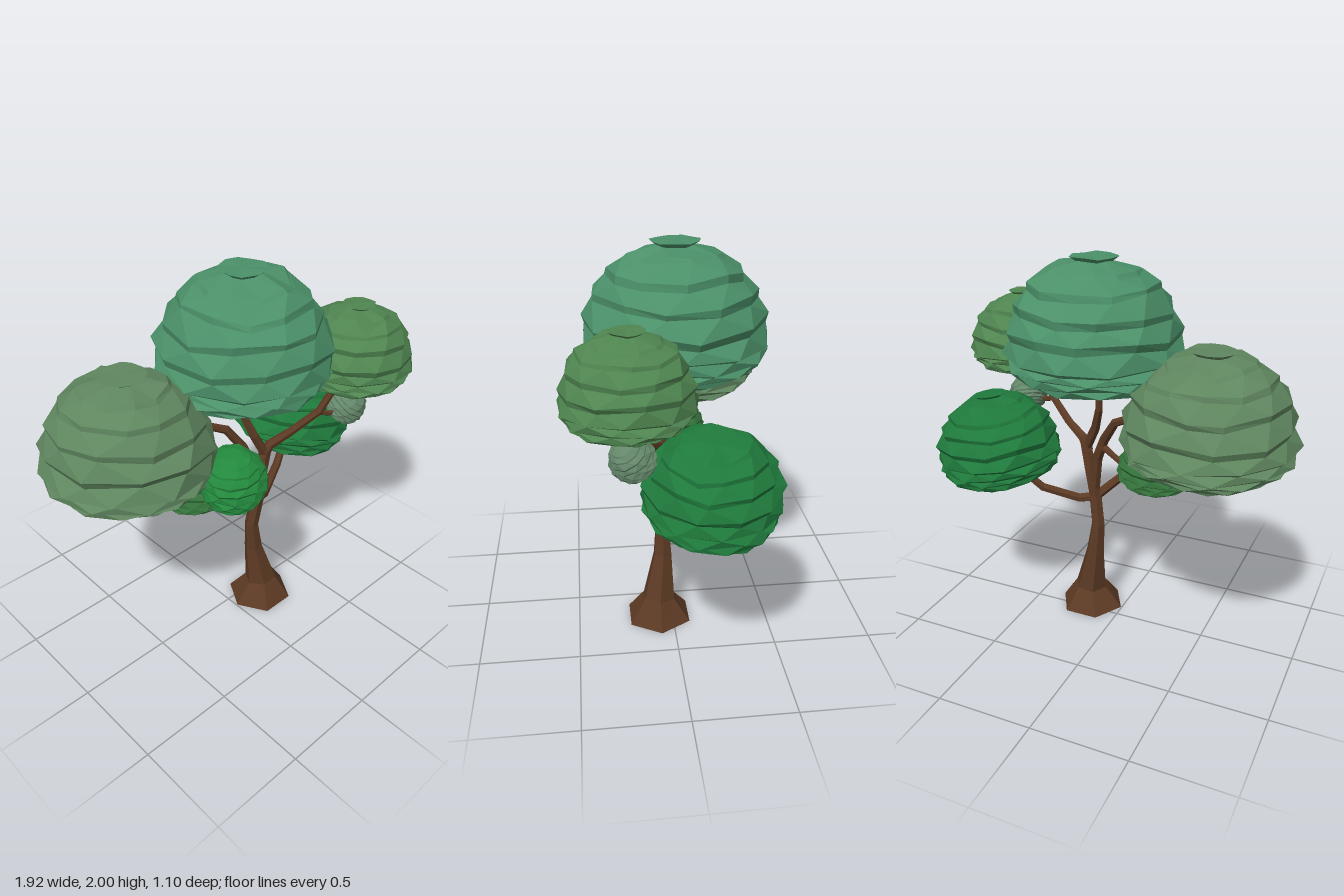
import * as THREE from 'three';

const bark = new THREE.MeshStandardMaterial({ color: 0x5c3a24, flatShading: true });

// Repeatable noise in -1..1
function noise(i, j, seed) {
  const s = Math.sin(i * 127.1 + j * 311.7 + seed * 74.7) * 43758.5453;
  return (s - Math.floor(s)) * 2 - 1;
}

// Six-sided limb swept through [x, y, z, radius] stations, closed at both ends
function limb(name, stations) {
  const sides = 6, pos = [], index = [];
  const pts = stations.map(s => new THREE.Vector3(s[0], s[1], s[2]));
  const last = pts.length - 1;
  pts.forEach((p, i) => {
    const t = pts[Math.min(i + 1, last)].clone().sub(pts[Math.max(i - 1, 0)]).normalize();
    if (stations[i][1] === 0) t.set(0, 1, 0);
    const u = t.clone().cross(new THREE.Vector3(0, 0, 1)).normalize();
    const v = u.clone().cross(t);
    for (let j = 0; j < sides; j++) {
      const a = j / sides * Math.PI * 2, r = stations[i][3];
      const q = p.clone().addScaledVector(u, r * Math.cos(a)).addScaledVector(v, r * Math.sin(a));
      pos.push(q.x, q.y, q.z);
    }
  });
  for (let i = 0; i < last; i++) {
    for (let j = 0; j < sides; j++) {
      const a = i * sides + j, b = i * sides + (j + 1) % sides;
      index.push(a, a + sides, b, b, a + sides, b + sides);
    }
  }
  const e = last * sides;
  for (let j = 1; j < sides - 1; j++) {
    index.push(0, j, j + 1, e, e + j + 1, e + j);
  }
  const indexed = new THREE.BufferGeometry();
  indexed.setAttribute('position', new THREE.Float32BufferAttribute(pos, 3));
  indexed.setIndex(index);
  const geo = indexed.toNonIndexed();
  geo.computeVertexNormals();
  const mesh = new THREE.Mesh(geo, bark);
  mesh.name = name;
  return mesh;
}

// Dome of leaf tiers with a rounded, shallow belly: each tier flares to a ragged rim, then tucks in
function foliage({ name, color, x, z, r, bottom, top, belly = 0.42, tilt = [0, 0], seed }) {
  const tiers = 9, segments = 11, start = 0.27, end = 2.75;
  // Flat crown cap with an undercut
  const profile = [[0, 1], [0.27, 1], [0.2, 0.955]];
  const at = (a, s) => {
    const under = a > Math.PI / 2;
    profile.push([Math.sin(a) ** (under ? 0.5 : 1) * s, Math.cos(a) * (under ? belly : 1)]);
  };
  for (let k = 1; k <= tiers; k++) {
    const a = start + (end - start) * k / tiers;
    at(a - 0.04, 1.01);
    at(a + 0.05, 0.95);
  }
  profile.push([0, -belly]);
  const points = profile.reverse().map(([px, py]) => new THREE.Vector2(px, py));

  const lathe = new THREE.LatheGeometry(points, segments);
  const p = lathe.attributes.position, n = points.length;
  for (let i = 0; i <= segments; i++) {
    for (let j = 1; j < n - 1; j++) {
      const c = i % segments;
      // Rim and tuck of one tier share most of their wobble
      const tier = Math.floor((j - 1) / 2);
      const wave = noise(c, tier, seed) * 0.045 + noise(c, j, seed + 5) * 0.015;
      const fade = j > n - 4 ? 0.2 : points[j].y < 0 ? 0.6 : 1;
      const rad = points[j].x * (1 + noise(c, tier, seed + 9) * 0.02 + noise(c, j, seed + 2) * 0.012);
      const a = i / segments * Math.PI * 2 + tier * 0.23 + noise(c, tier, seed + 3) * 0.08;
      p.setXYZ(i * n + j, Math.sin(a) * rad, points[j].y + wave * fade, Math.cos(a) * rad);
    }
  }
  // Size the dome about its mid-height
  lathe.translate(0, (belly - 1) / 2, 0);
  lathe.scale(r, (top - bottom) / (1 + belly), r);
  lathe.rotateX(tilt[0]);
  lathe.rotateZ(tilt[1]);
  const geo = lathe.toNonIndexed();
  geo.computeVertexNormals();
  const mesh = new THREE.Mesh(geo, new THREE.MeshStandardMaterial({ color, flatShading: true }));
  mesh.name = name;
  mesh.position.set(x, (top + bottom) / 2, z);
  return mesh;
}

export function createModel() {
  const tree = new THREE.Group();
  tree.name = 'tree';

  // Flared trunk and the branches that leave it
  const wood = new THREE.Group();
  wood.name = 'trunkAndBranches';
  wood.add(
    limb('trunk', [
      [0.185, 0, 0.07, 0.18], [0.19, 0.12, 0.07, 0.09], [0.15, 0.36, 0.045, 0.051],
      [0.132, 0.53, 0.045, 0.038], [0.155, 0.7, 0.06, 0.037], [0.18, 0.85, 0.055, 0.035],
      [0.21, 1.0, 0.06, 0.032],
    ]),
    limb('upperLeftBranch', [
      [0.19, 0.95, 0.06, 0.028], [0.23, 1.02, 0.07, 0.027], [0.34, 1.08, 0.12, 0.022],
      [0.47, 1.18, 0.19, 0.021], [0.58, 1.36, 0.23, 0.018],
    ]),
    limb('twig', [[0.45, 1.18, 0.18, 0.017], [0.53, 1.15, 0.21, 0.014], [0.64, 1.18, 0.23, 0.011]]),
    limb('crownBranch', [
      [0.2, 0.98, 0.06, 0.027], [0.14, 1.1, 0.04, 0.025], [0.1, 1.22, 0.0, 0.021],
      [0.09, 1.42, -0.02, 0.017],
    ]),
    limb('upperRightBranch', [
      [0.155, 0.75, 0.055, 0.03], [0.13, 0.93, 0.04, 0.029], [0.08, 1.05, 0.02, 0.026],
      [0.0, 1.17, -0.02, 0.023], [-0.12, 1.23, -0.06, 0.02], [-0.3, 1.27, -0.1, 0.016],
    ]),
    limb('rearTwig', [[0.09, 1.01, 0.02, 0.02], [-0.03, 0.94, 0.0, 0.016], [-0.17, 0.96, -0.02, 0.013]]),
    limb('lowerRightBranch', [
      [0.15, 0.69, 0.06, 0.026], [0.04, 0.79, 0.13, 0.023], [-0.05, 0.9, 0.19, 0.02],
      [-0.15, 1.03, 0.24, 0.016],
    ]),
    limb('lowerLeftBranch', [
      [0.14, 0.69, 0.06, 0.028], [0.24, 0.675, 0.03, 0.026], [0.42, 0.74, -0.05, 0.023],
      [0.54, 0.86, -0.1, 0.019],
    ]),
  );
  tree.add(wood);

  // Leaf domes at the branch ends
  [
    { name: 'crownFoliage', color: 0x4b9069, x: 0.11, z: -0.02, r: 0.45, bottom: 1.36, top: 2.0, seed: 1 },
    { name: 'upperRightFoliage', color: 0x5f865f, x: -0.53, z: -0.13, r: 0.425, bottom: 1.04, top: 1.64, seed: 2 },
    { name: 'upperLeftFoliage', color: 0x4f8550, x: 0.655, z: 0.24, r: 0.3, bottom: 1.31, top: 1.745, seed: 3 },
    { name: 'lowerLeftFoliage', color: 0x1f7a3c, x: 0.635, z: -0.135, r: 0.33, bottom: 0.785, top: 1.275, belly: 0.55, tilt: [0, -0.14], seed: 4 },
    { name: 'lowerRightFoliage', color: 0x23893d, x: -0.19, z: 0.235, r: 0.17, bottom: 0.95, top: 1.25, belly: 0.8, tilt: [0.1, 0.12], seed: 5 },
    { name: 'rearFoliage', color: 0x33703a, x: -0.225, z: -0.02, r: 0.2, bottom: 0.85, top: 1.1, belly: 0.6, tilt: [0, 0.08], seed: 6 },
    { name: 'twigFoliage', color: 0x64876a, x: 0.65, z: 0.23, r: 0.108, bottom: 1.08, top: 1.27, belly: 0.7, tilt: [0.5, -0.4], seed: 7 },
  ].forEach(f => tree.add(foliage(f)));

  return tree;
}
